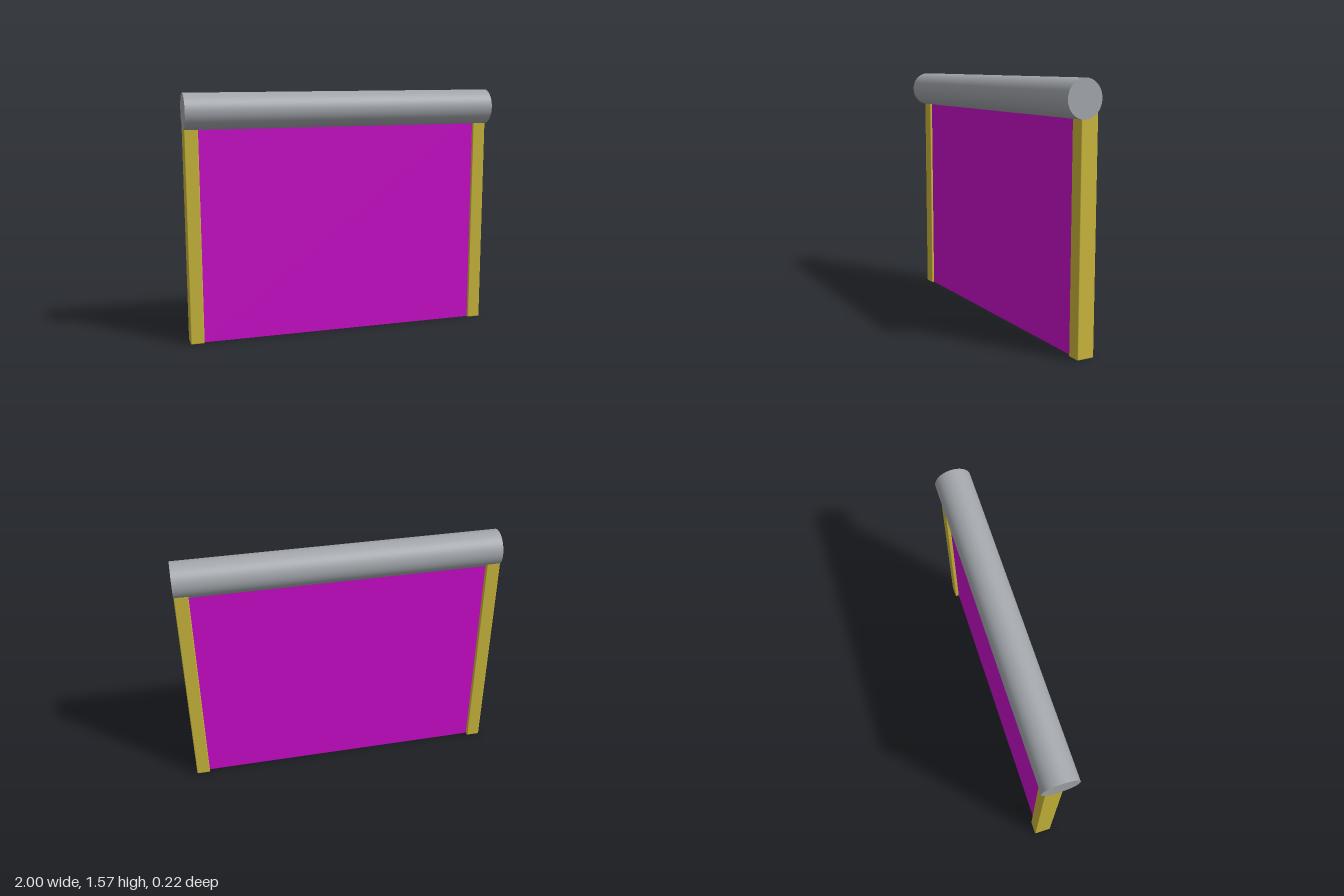
import * as THREE from 'three';
import { RoundedBoxGeometry } from 'three/addons/geometries/RoundedBoxGeometry.js';

function material(name, color) {
  const m = new THREE.MeshStandardMaterial({ color });
  m.name = name;
  return m;
}

export function createModel() {
  const group = new THREE.Group();
  group.name = 'rollerDoor';
  const grey = material('rollerGrey', 0xa3a7ac);
  const yellow = material('railYellow', 0xccb83c);
  const magenta = material('curtainMagenta', 0xcc0ccc);

  const add = (name, geometry, mat, x, y, z) => {
    const mesh = new THREE.Mesh(geometry, mat);
    mesh.name = name;
    mesh.position.set(x, y, z);
    group.add(mesh);
    return mesh;
  };

  // Horizontal housing drum across the top
  const drum = new THREE.CylinderGeometry(0.112, 0.112, 2, 64).rotateZ(Math.PI / 2);
  add('rollerDrum', drum, grey, 0, 1.457, 0);

  // Side rails with softened edges, running up into the drum
  const railHeight = 1.43;
  for (const side of [-1, 1]) {
    const rail = new RoundedBoxGeometry(0.086, railHeight, 0.11, 2, 0.006);
    add(side > 0 ? 'leftRail' : 'rightRail', rail, yellow, side * 0.956, railHeight / 2, -0.034);
  }

  // Curtain panel, recessed between the rails
  const curtainHeight = 1.42;
  const curtain = new THREE.BoxGeometry(1.828, curtainHeight, 0.07);
  add('curtain', curtain, magenta, 0, curtainHeight / 2 + 0.003, -0.03);

  return group;
}
